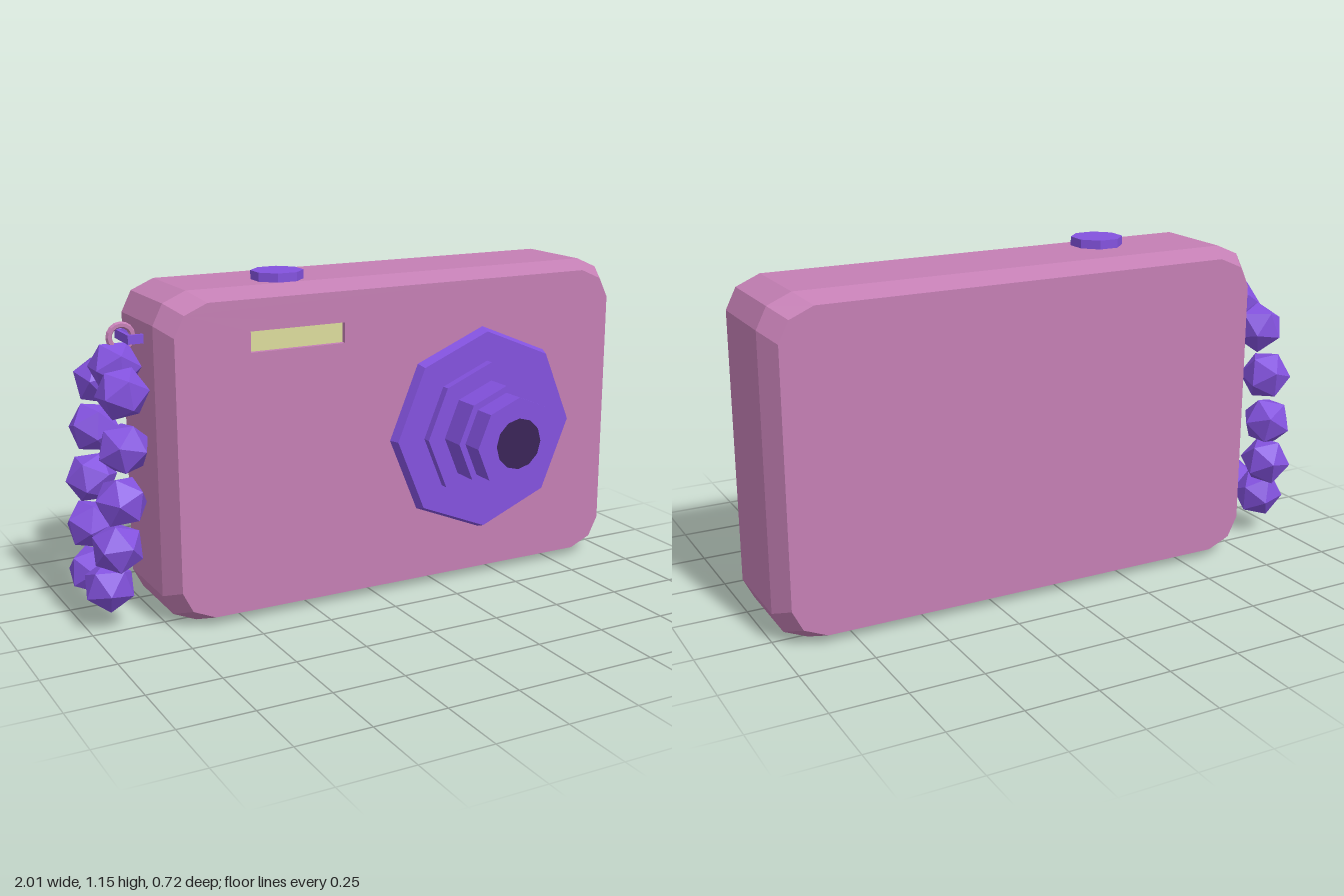
import * as THREE from 'three';

const flat = (name, color) => {
  const m = new THREE.MeshStandardMaterial({ color, flatShading: true });
  m.name = name;
  return m;
};

export function createModel() {
  const pink = flat('pink shell', 0xc47fb4);
  const purple = flat('purple plastic', 0x8352de);
  const dark = flat('dark glass', 0x3a2458);
  const yellow = flat('flash yellow', 0xdcdc9c);

  const model = new THREE.Group();
  model.name = 'camera';
  const add = (name, geometry, material, x = 0, y = 0, z = 0, parent = model) => {
    const mesh = new THREE.Mesh(geometry, material);
    mesh.name = name;
    mesh.position.set(x, y, z);
    parent.add(mesh);
    return mesh;
  };

  // Body: chamfered-corner outline swept through four depths
  const body = new THREE.Group();
  body.name = 'body';
  body.position.set(0.1175, 0.56, 0);
  model.add(body);
  const outline = (w, h) => {
    const corner = [[w, h - 0.105], [w - 0.035, h - 0.035], [w - 0.115, h]];
    const mirrored = corner.map(([x, y]) => [-x, y]).reverse();
    const top = [...corner, ...mirrored];
    return [...top, ...top.map(([x, y]) => [-x, -y])]
      .map(([x, y]) => new THREE.Vector2(x, y));
  };
  const outer = outline(0.8825, 0.56);
  const inner = outline(0.843, 0.53);
  const rings = [[inner, 0.115], [outer, 0.03], [outer, -0.265], [inner, -0.345]];
  const verts = [];
  for (let k = 0; k < 3; k++) {
    const [a, za] = rings[k], [b, zb] = rings[k + 1];
    for (let i = 0; i < a.length; i++) {
      const j = (i + 1) % a.length;
      const p = [a[i].x, a[i].y, za], q = [b[i].x, b[i].y, zb];
      const r = [b[j].x, b[j].y, zb], s = [a[j].x, a[j].y, za];
      verts.push(...p, ...q, ...r, ...p, ...r, ...s);
    }
  }
  const sides = new THREE.BufferGeometry();
  sides.setAttribute('position', new THREE.Float32BufferAttribute(verts, 3));
  sides.computeVertexNormals();
  add('bodySides', sides, pink, 0, 0, 0, body);
  add('bodyBack', new THREE.ShapeGeometry(new THREE.Shape(inner)).rotateY(Math.PI), pink, 0, 0, -0.345, body);

  // Front panel with a recessed flash window
  const fx = -0.411, fy = 0.39;
  const rect = (w, h) => [[-w, -h], [w, -h], [w, h], [-w, h]]
    .map(([x, y]) => new THREE.Vector2(fx + x, fy + y));
  const opening = rect(0.171, 0.035);
  const front = new THREE.Shape(inner);
  front.holes.push(new THREE.Path(opening));
  add('bodyFront', new THREE.ShapeGeometry(front), pink, 0, 0, 0.115, body);
  const frame = new THREE.Shape(rect(0.18, 0.044));
  frame.holes.push(new THREE.Path(opening));
  add('flashRecess', new THREE.ExtrudeGeometry(frame, { depth: 0.02, bevelEnabled: false }), pink, 0, 0, 0.0945, body);
  add('flashWindow', new THREE.PlaneGeometry(0.35, 0.078), yellow, fx, fy, 0.096, body);

  // Lens: stepped octagonal barrel [back radius, front radius, back z, front z]
  const lens = new THREE.Group();
  lens.name = 'lens';
  lens.position.set(0.42, 0.554, 0);
  model.add(lens);
  const steps = [[0.371, 0.356, 0.11, 0.15], [0.252, 0.252, 0.14, 0.18],
    [0.187, 0.187, 0.17, 0.275], [0.163, 0.163, 0.265, 0.356]];
  steps.forEach(([rb, rf, z0, z1], i) => {
    const g = new THREE.CylinderGeometry(rf, rb, z1 - z0, 8).rotateX(Math.PI / 2);
    add('lensStep' + (i + 1), g, purple, 0, 0, (z0 + z1) / 2, lens);
  });
  add('lensGlass', new THREE.CircleGeometry(0.09, 12), dark, 0, 0, 0.358, lens);

  // Shutter button
  add('shutterButton', new THREE.CylinderGeometry(0.089, 0.089, 0.04, 8).rotateY(Math.PI / 8), purple, -0.29, 1.13, -0.055);

  // Strap staple on the side, with a ring through it
  const strap = new THREE.Group();
  strap.name = 'strap';
  strap.position.z = -0.122;
  model.add(strap);
  for (const s of [-1, 1]) {
    add('stapleProng', new THREE.BoxGeometry(0.06, 0.03, 0.012), purple, -0.788, 0.96, s * 0.06, strap);
  }
  add('stapleBar', new THREE.BoxGeometry(0.012, 0.03, 0.132), purple, -0.812, 0.96, 0, strap);
  add('strapRing', new THREE.TorusGeometry(0.04, 0.011, 6, 16), pink, -0.82, 0.96, 0, strap);

  // Bead loop: one bead at the top, then pairs [x, y, z offset]
  const bead = new THREE.IcosahedronGeometry(0.09, 0);
  const addBead = (x, y, z, n) => {
    add('bead', bead, purple, x, y, z, strap).rotation.set(n * 0.9, n * 1.7, n * 0.6);
  };
  addBead(-0.845, 0.865, 0, 0);
  const pairs = [[-0.862, 0.8, 0.115], [-0.877, 0.63, 0.152], [-0.893, 0.455, 0.155],
    [-0.908, 0.295, 0.14], [-0.924, 0.15, 0.085]];
  pairs.forEach(([x, y, z], i) => {
    addBead(x, y, z, i + 1);
    addBead(x, y, -z, i + 6);
  });
  return model;
}
